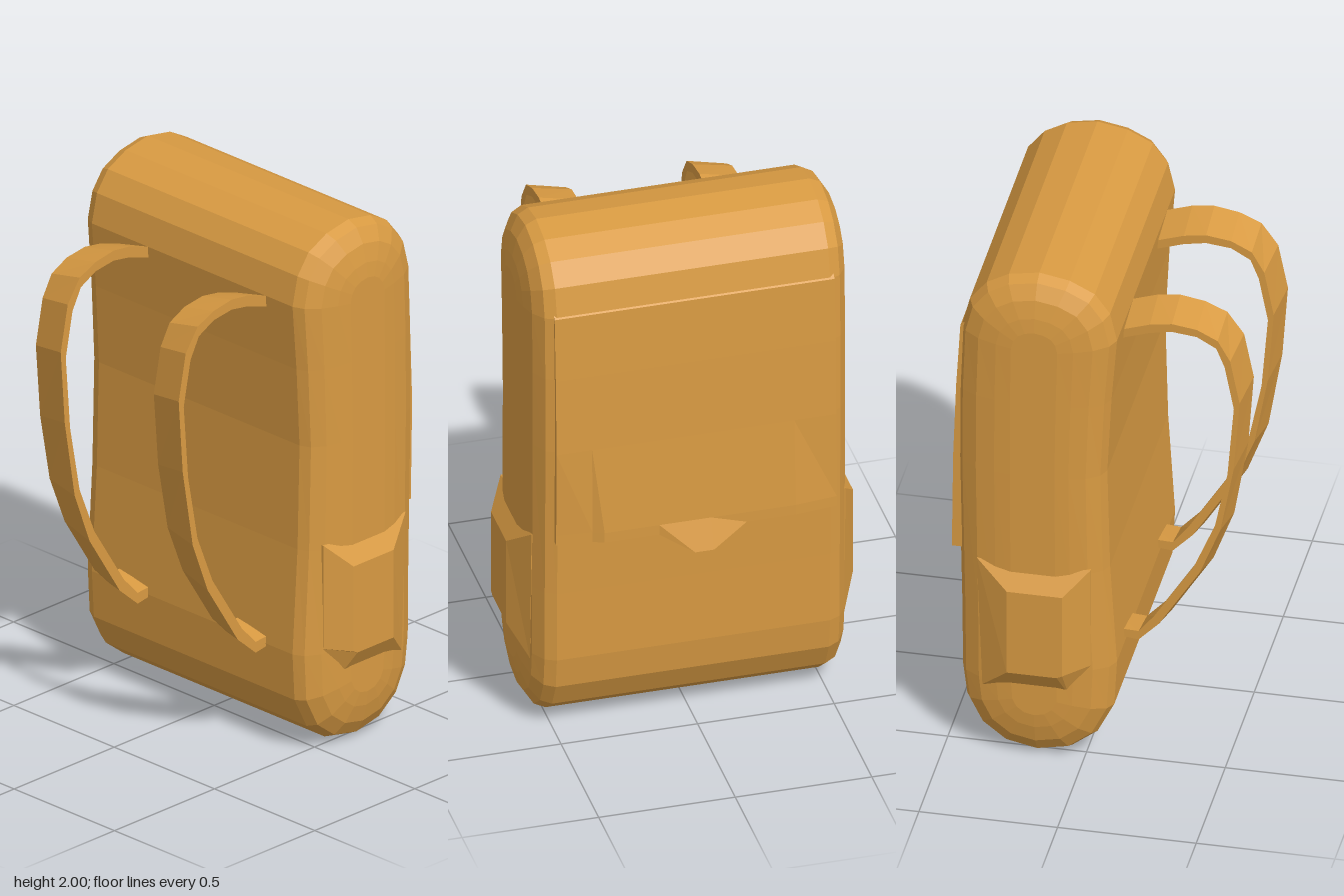
import * as THREE from 'three';

const material = new THREE.MeshStandardMaterial({ color: 0xd89a42, flatShading: true });

// Skins a row of equal-length closed loops (counter-clockwise about the travel direction) and caps both ends.
function loft(name, loops) {
  const n = loops[0].length;
  const pos = loops.flat(2);
  const index = [];
  for (let i = 0; i < loops.length - 1; i++) {
    for (let j = 0; j < n; j++) {
      const k = (j + 1) % n;
      const a = i * n + j, b = i * n + k, c = (i + 1) * n + k, d = (i + 1) * n + j;
      index.push(a, b, c, a, c, d);
    }
  }
  const cap = (row, flip) => {
    const centre = pos.length / 3;
    for (let axis = 0; axis < 3; axis++) {
      pos.push(loops[row].reduce((sum, p) => sum + p[axis], 0) / n);
    }
    for (let j = 0; j < n; j++) {
      const a = row * n + j, b = row * n + (j + 1) % n;
      index.push(centre, flip ? b : a, flip ? a : b);
    }
  };
  cap(0, true);
  cap(loops.length - 1, false);
  const geometry = new THREE.BufferGeometry();
  geometry.setAttribute('position', new THREE.Float32BufferAttribute(pos, 3));
  geometry.setIndex(index);
  geometry.computeVertexNormals();
  const mesh = new THREE.Mesh(geometry, material);
  mesh.name = name;
  return mesh;
}

// Upright rounded bag: one side outline, shrunk towards its spine at both ends
function makeBody() {
  const outline = [
    [0.17, 0.005], [0.29, 0.03], [0.38, 0.1], [0.43, 0.2], [0.445, 0.32], [0.448, 0.6],
    [0.46, 1.2], [0.458, 1.5], [0.448, 1.75], [0.42, 1.86], [0.36, 1.935], [0.28, 1.98],
    [0.17, 2], [0.06, 1.98], [-0.03, 1.935], [-0.085, 1.86], [-0.11, 1.75], [-0.09, 1.5],
    [-0.075, 1.2], [-0.085, 0.8], [-0.11, 0.4], [-0.1, 0.22], [-0.04, 0.1], [0.05, 0.03],
  ];
  const ends = [[0.595, 0.3], [0.588, 0.5], [0.572, 0.74], [0.54, 0.93], [0.5, 1]];
  const stations = [
    ...ends.map(([z, k]) => [-z, k]),
    ...ends.slice().reverse(),
  ];
  return loft('body', stations.map(([z, k]) => outline.map(([x, y]) => {
    const spineY = THREE.MathUtils.clamp(y, 0.28, 1.72);
    return [0.17 + (x - 0.17) * k, spineY + (y - spineY) * k, z];
  })));
}

// Closing flap with a small pointed tab; each station is z, edge x, edge y
function makeFlap() {
  const stations = [
    [-0.515, 0.482, 0.82], [-0.36, 0.5, 0.82], [-0.18, 0.5, 0.82], [-0.05, 0.54, 0.75],
    [0.02, 0.54, 0.75], [0.14, 0.5, 0.82], [0.34, 0.5, 0.82], [0.38, 0.483, 0.82], [0.51, 0.472, 0.82],
  ];
  return loft('flap', stations.map(([z, x, y]) => [
    [x, y, z], [Math.min(x, 0.5), 0.86, z], [0.478, 1.2, z], [0.467, 1.5, z], [0.452, 1.75, z],
    [0.4, 1.8, z], [0.4, 1.2, z], [0.42, y < 0.8 ? 0.79 : 0.82, z],
  ]));
}

// Bevelled pocket on the +z (side 1) or -z (side -1) end
function makePocket(side) {
  const inner = [[0.05, 0.29], [0.36, 0.29], [0.38, 0.82], [-0.03, 0.82], [-0.03, 0.42]];
  const outer = [[0.08, 0.39], [0.26, 0.39], [0.26, 0.73], [0.06, 0.73], [0.06, 0.4]];
  const ring = (points, z) => points.map(([x, y]) => [x, y, z * side]);
  const loops = [ring(inner, 0.53), ring(inner, 0.575), ring(outer, 0.635)];
  return loft('sidePocket', side > 0 ? loops : loops.reverse());
}

// Shoulder strap: a flat band between an outer and an inner curve, leaning inwards along -z
function makeStrap(z) {
  const outer = [
    [-0.04, 1.72], [-0.11, 1.75], [-0.2, 1.78], [-0.28, 1.79], [-0.37, 1.775], [-0.45, 1.74], [-0.51, 1.655],
    [-0.545, 1.48], [-0.525, 1.2], [-0.475, 0.9], [-0.4, 0.7], [-0.25, 0.46], [-0.16, 0.38], [-0.04, 0.4],
  ];
  const inner = [
    [-0.04, 1.65], [-0.11, 1.68], [-0.2, 1.71], [-0.28, 1.725], [-0.37, 1.715], [-0.44, 1.675], [-0.47, 1.6],
    [-0.503, 1.43], [-0.48, 1.15], [-0.435, 0.93], [-0.36, 0.75], [-0.215, 0.52], [-0.16, 0.45], [-0.04, 0.455],
  ];
  return loft('shoulderStrap', outer.map((p, i) => {
    const q = inner[i];
    const at = (t, dz) => [p[0] + (q[0] - p[0]) * t, p[1] + (q[1] - p[1]) * t, z + dz];
    return [at(0, 0.0725), at(0.6, 0.0725), at(1, -0.0725), at(0.5, -0.0725)].reverse();
  }));
}

export function createModel() {
  const group = new THREE.Group();
  group.name = 'backpack';
  group.add(makeBody(), makeFlap());
  for (const side of [1, -1]) {
    group.add(makePocket(side), makeStrap(side * 0.294));
  }
  return group;
}
